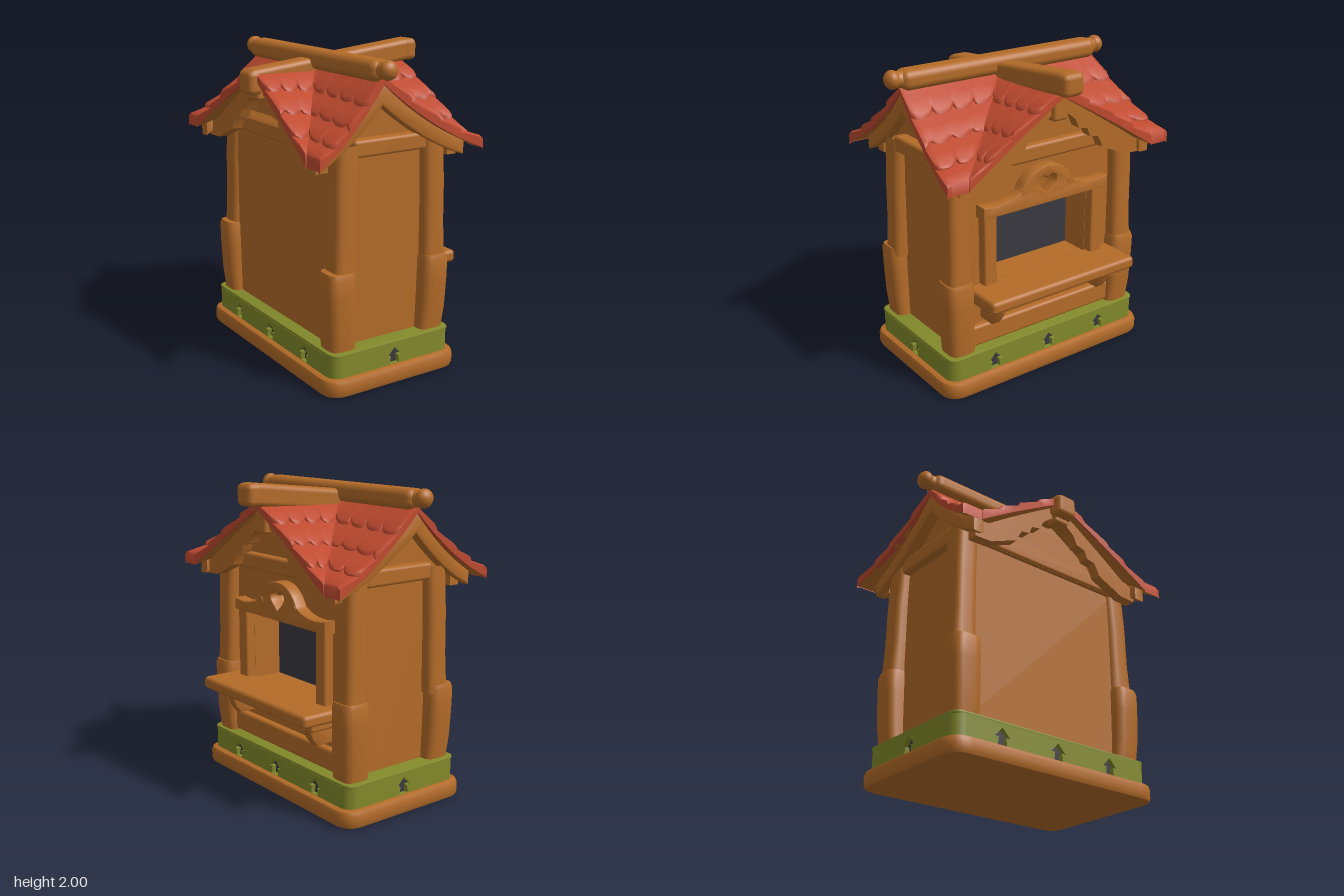
import * as THREE from 'three';
import { mergeGeometries, toCreasedNormals } from 'three/addons/utils/BufferGeometryUtils.js';
import { RoundedBoxGeometry } from 'three/addons/geometries/RoundedBoxGeometry.js';

const { lerp } = THREE.MathUtils;
const flat = (name, color, side = THREE.FrontSide) =>
  Object.assign(new THREE.MeshStandardMaterial({ color, side }), { name });

export function createModel() {
  const root = new THREE.Group();
  root.name = 'marketHut';
  const wood = flat('wood', 0xb36b28, THREE.DoubleSide);
  const red = flat('redTile', 0xbf4a2f, THREE.DoubleSide);
  const green = flat('greenTrim', 0x82892a);
  const dark = flat('darkOpening', 0x3a3941);

  const add = (name, geo, mat = wood) =>
    root.add(Object.assign(new THREE.Mesh(geo, mat), { name }));
  // rounded box given by its limits
  const block = (name, x0, x1, y0, y1, z0, z1, r = 0.015, mat = wood) =>
    add(name, new RoundedBoxGeometry(x1 - x0, y1 - y0, z1 - z0, 2, r)
      .translate((x0 + x1) / 2, (y0 + y1) / 2, (z0 + z1) / 2), mat);
  const poly = pts => new THREE.Shape(pts.map(p => new THREE.Vector2(p[0], p[1])));
  const mirror = pts => [...pts, ...pts.filter(p => p[0] !== 0).reverse().map(p => [-p[0], p[1]])];
  const rect = (w, y0, y1) => poly([[-w, y0], [w, y0], [w, y1], [-w, y1]]);
  const extrude = (shape, depth, bevel = 0) => toCreasedNormals(new THREE.ExtrudeGeometry(shape, {
    depth: depth - 2 * bevel, curveSegments: 8, bevelEnabled: bevel > 0,
    bevelSize: bevel, bevelThickness: bevel, bevelOffset: -bevel, bevelSegments: 2,
  }).translate(0, 0, bevel), 0.6);
  // outline in (z, y), extruded from x0 to x1
  const sideExtrude = (shape, x0, x1, bevel = 0) =>
    extrude(shape, x1 - x0, bevel).rotateY(Math.PI / 2).translate(x0, 0, 0);

  // ---- base and lid of the green band
  const slab = (name, x0, x1, zh, y0, y1, r, bevel, mat) => {
    const s = new THREE.Shape();
    s.moveTo(x0 + r, -zh).lineTo(x1 - r, -zh).quadraticCurveTo(x1, -zh, x1, -zh + r)
      .lineTo(x1, zh - r).quadraticCurveTo(x1, zh, x1 - r, zh)
      .lineTo(x0 + r, zh).quadraticCurveTo(x0, zh, x0, zh - r)
      .lineTo(x0, -zh + r).quadraticCurveTo(x0, -zh, x0 + r, -zh);
    add(name, extrude(s, y1 - y0, bevel).rotateX(-Math.PI / 2).translate(0, y0, 0), mat);
  };
  slab('base', -0.52, 0.45, 0.79, 0, 0.115, 0.13, 0.03, wood);
  slab('bandLid', -0.478, 0.408, 0.748, 0.245, 0.265, 0.07, 0.006, green);

  // ---- green band: pierced panels around a dark core, rounded corners
  const arrow = mirror([[0, 0.225], [0.055, 0.168], [0.027, 0.168], [0.033, 0.118]]);
  const panel = (halfWidth, centres) => {
    const s = rect(halfWidth, 0.1, 0.25);
    s.holes = centres.map(c => poly(arrow.map(p => [p[0] + c, p[1]])));
    return s;
  };
  block('bandCore', -0.45, 0.38, 0.1, 0.25, -0.72, 0.72, 0.01, dark);
  for (const x of [-0.48, 0.375])
    add('bandSide', sideExtrude(panel(0.67, [-0.42, 0, 0.42]), x, x + 0.035), green);
  for (const z of [-0.75, 0.715])
    add('bandEnd', extrude(panel(0.365, [0.005]), 0.035).translate(-0.035, 0, z), green);
  for (const x of [-0.4, 0.33]) for (const z of [-0.67, 0.67])
    add('bandCorner', new THREE.CylinderGeometry(0.08, 0.08, 0.15, 24).translate(x, 0.175, z), green);

  // ---- walls, with the window and heart cut into the +x side
  const heart = new THREE.Shape();
  heart.moveTo(0, 1.2).bezierCurveTo(0.03, 1.23, 0.07, 1.25, 0.07, 1.285)
    .bezierCurveTo(0.07, 1.32, 0.015, 1.325, 0, 1.295)
    .bezierCurveTo(-0.015, 1.325, -0.07, 1.32, -0.07, 1.285)
    .bezierCurveTo(-0.07, 1.25, -0.03, 1.23, 0, 1.2);
  block('walls', -0.39, 0.10, 0.24, 1.46, -0.635, 0.635, 0.01);
  const sideWall = rect(0.635, 0.24, 1.46);
  sideWall.holes = [rect(0.37, 0.67, 1.13), heart];
  add('windowWall', sideExtrude(sideWall, 0.09, 0.30));
  add('windowOpening', new THREE.BoxGeometry(0.008, 0.72, 0.8).translate(0.1, 0.99, 0), dark);
  add('windowCeiling', new THREE.BoxGeometry(0.2, 0.008, 0.74).translate(0.198, 1.127, 0), dark);
  block('lowerPlank', 0.28, 0.345, 0.27, 0.41, -0.56, 0.56, 0.02);
  for (const s of [-1, 1]) {
    block('endBeam', -0.29, 0.23, 1.42, 1.525, s * 0.645 - 0.045, s * 0.645 + 0.045, 0.02);
    block('sideBeam', s > 0 ? 0.28 : -0.43, s > 0 ? 0.37 : -0.35, 1.42, 1.525, -0.6, 0.6, 0.02);
  }

  // ---- indexed grid of points, with creases kept sharp
  const grid = (rows, cols, at, flip) => {
    const pos = [], idx = [];
    for (let r = 0; r < rows; r++) for (let c = 0; c < cols; c++) pos.push(...at(r, c));
    for (let r = 0; r < rows - 1; r++) for (let c = 0; c < cols - 1; c++) {
      const a = r * cols + c, b = a + cols;
      idx.push(...(flip ? [a, b, a + 1, a + 1, b, b + 1] : [a, a + 1, b, a + 1, b + 1, b]));
    }
    const g = new THREE.BufferGeometry();
    g.setAttribute('position', new THREE.Float32BufferAttribute(pos, 3)).setIndex(idx);
    return toCreasedNormals(g, 0.8);
  };

  // ---- corner posts: lofted rounded squares [y, half width, outward lean]
  const post = (levels, x, sx, sz) => grid(levels.length, 25, (r, c) => {
    const [y, h, lean] = levels[r], a = c / 24 * Math.PI * 2;
    const k = h / Math.pow(Math.cos(a) ** 4 + Math.sin(a) ** 4, 0.25);
    return [x + k * Math.cos(a) + sx * lean, y, sz * 0.635 + k * Math.sin(a) + sz * lean];
  }, true);
  for (const sx of [-1, 1]) for (const sz of [-1, 1]) {
    add('postUpper', post([[0.7, 0.08, 0.004], [0.95, 0.076, -0.002], [1.2, 0.076, -0.004],
      [1.5, 0.078, -0.015]], sx > 0 ? 0.303 : -0.347, sx, sz));
    add('postSleeve', post([[0.25, 0.088, -0.01], [0.4, 0.092, 0], [0.6, 0.093, 0.006],
      [0.72, 0.092, 0.008], [0.75, 0.084, 0.006], [0.76, 0.03, 0]], sx > 0 ? 0.303 : -0.372, sx, sz));
  }

  // ---- window frame and counter
  const head = new THREE.Shape();
  head.moveTo(-0.48, 1.13).lineTo(0.48, 1.13).lineTo(0.48, 1.21).lineTo(0.4, 1.2)
    .quadraticCurveTo(0.27, 1.2, 0.2, 1.25).quadraticCurveTo(0.14, 1.38, 0, 1.38)
    .quadraticCurveTo(-0.14, 1.38, -0.2, 1.25).quadraticCurveTo(-0.27, 1.2, -0.4, 1.2)
    .lineTo(-0.48, 1.21);
  head.holes = [heart];
  add('windowHead', sideExtrude(head, 0.29, 0.38, 0.01));
  block('counter', 0.29, 0.59, 0.605, 0.685, -0.56, 0.56, 0.025);
  const bracket = poly([[0.29, 0.62], [0.53, 0.62], [0.53, 0.57], [0.475, 0.55], [0.45, 0.49],
    [0.415, 0.44], [0.29, 0.44]]);
  for (const s of [-1, 1]) {
    block('windowJamb', 0.29, 0.365, 0.66, 1.15, s * 0.418 - 0.047, s * 0.418 + 0.047, 0.015);
    add('frameScroll', new THREE.CylinderGeometry(0.022, 0.022, 0.08, 16)
      .rotateZ(Math.PI / 2).translate(0.345, 1.24, s * 0.175));
    add('counterBracket', extrude(bracket, 0.08, 0.012).translate(0, 0, s * 0.42 - 0.04));
    block('bracketCap', 0.29, 0.51, 0.56, 0.61, s * 0.45 - 0.075, s * 0.45 + 0.075, 0.015);
  }

  // ---- cross-gabled roof: t runs from ridge to eave, w from valley to gable edge
  const xc = -0.12, hz = 0.69, hx = s => (s > 0 ? 0.665 : 0.495);
  const END_SAG = 0.42, SIDE_SAG = -0.08;
  const height = (t, sag) => 1.88 - 0.42 * ((1 + sag) * t - sag * t * t);
  const roofPoint = (alongZ, sx, sz, t, w, lift) => {
    const y = height(t, lerp(0.15, alongZ ? END_SAG : SIDE_SAG, w)) + lift;
    if (alongZ) return [xc + sx * hx(sx) * t, y, sz * lerp(t * hz, 0.73 + 0.1 * t, w)];
    const edge = sx > 0 ? 0.64 + 0.03 * t : 0.45 + 0.05 * t;
    return [xc + sx * lerp(hx(sx) * t, edge, w), y, sz * hz * t];
  };
  const tiles = [], under = [], ROWS = 4;
  for (const alongZ of [true, false]) for (const sx of [-1, 1]) for (const sz of [-1, 1]) {
    const flip = (sx * sz > 0) === alongZ;
    for (let row = 0; row < ROWS; row++) {
      const t0 = row / ROWS, t1 = (row + 1) / ROWS, last = row === ROWS - 1;
      const span = (alongZ ? 0.73 : hx(sx)) * (1 - t0 * 0.85);
      const count = Math.max(1, Math.round(span / 0.19)), n = count * 8;
      const profile = [[0, 0.004], [0.5, 0.018], [0.92, 0.028], [1, 0.02], [1, last ? -0.045 : -0.012]];
      tiles.push(grid(profile.length, n + 3, (r, c) => {
        const fr = (Math.min(c / n, 1) * count + (row % 2) * 0.35) % 1;
        const scallop = last ? 0 : 0.06 * Math.sqrt(Math.max(0, 1 - (2 * fr - 1) ** 2));
        const lift = c > n ? -0.04 : profile[r][1] - (c === n ? 0.01 : 0);
        const w = c <= n ? c / n : c === n + 1 ? 1 : 0.9;
        return roofPoint(alongZ, sx, sz, lerp(t0, t1 + scallop, profile[r][0]), w, lift);
      }, flip));
    }
    under.push(grid(9, 4, (r, c) => roofPoint(alongZ, sx, sz, r / 8, c / 3 * 0.97, -0.04), !flip));
  }
  add('roofTiles', mergeGeometries(tiles), red);
  add('roofUnderside', mergeGeometries(under));

  // ---- attic walls and bargeboards follow the roof curve
  const endLine = (max, peakDrop, eaveDrop) => Array.from({ length: 17 }, (_, i) => {
    const t = Math.abs(i - 8) / 8;
    return [xc + Math.sign(i - 8) * hx(i - 8) * t * max, height(t * max, END_SAG) - lerp(peakDrop, eaveDrop, t)];
  });
  const sideLine = (max, drop) => [0, 0.25, 0.5, 0.75, 1].map(k => [k * max * hz, height(k * max, SIDE_SAG) - drop]);
  add('atticEnds', extrude(poly([...endLine(0.6, 0.06, 0.06), [0.279, 1.42], [-0.417, 1.42]]), 1.22)
    .translate(0, 0, -0.61));
  add('atticSides', sideExtrude(poly(mirror([...sideLine(0.8, 0.06), [0.55, 1.42]])), -0.38, 0.32));
  const endBoard = poly([...endLine(0.92, 0.03, 0.03), ...endLine(0.92, 0.165, 0.12).reverse()]);
  for (const z of [0.64, -0.72])
    add('endBargeboard', extrude(endBoard, 0.08, 0.012).translate(0, 0, z));
  // scalloped lower edge of the side boards, eave to peak
  const lace = [[0.67, 1.36], [0.55, 1.365], [0.35, 1.45], [0.335, 1.49], [0.31, 1.53], [0.25, 1.54],
    [0.225, 1.595], [0.16, 1.61], [0.13, 1.67], [0.08, 1.71], [0, 1.76]];
  for (const s of [-1, 1]) for (const x of [0.4, -0.53]) {
    const board = [...sideLine(0.97, 0.035), ...lace].map(p => [s * p[0], p[1]]);
    add('sideBargeboard', sideExtrude(poly(board), x, x + 0.07));
  }
  for (const x of [0.45, -0.53])
    block('kingPost', x - 0.04, x + 0.05, 1.69, 1.88, -0.055, 0.055, 0.02);

  // ---- ridge beams
  add('ridgeBeam', new RoundedBoxGeometry(0.15, 0.125, 1.46, 4, 0.05).translate(-0.125, 1.915, 0));
  for (const s of [-1, 1]) {
    add('ridgeNeck', new THREE.CylinderGeometry(0.045, 0.055, 0.08, 20)
      .rotateX(Math.PI / 2 * s).translate(-0.125, 1.92, s * 0.74));
    add('ridgeKnob', new THREE.SphereGeometry(0.058, 20, 14).scale(1, 1, 0.85).translate(-0.125, 1.925, s * 0.772));
  }
  add('crossBeam', new RoundedBoxGeometry(1.22, 0.14, 0.145, 3, 0.035).rotateZ(0.105).translate(-0.005, 1.872, 0));
  block('crossBeamCapRight', 0.51, 0.62, 1.86, 2, -0.075, 0.075, 0.035);
  block('crossBeamCapLeft', -0.63, -0.53, 1.725, 1.875, -0.075, 0.075, 0.035);
  return root;
}
